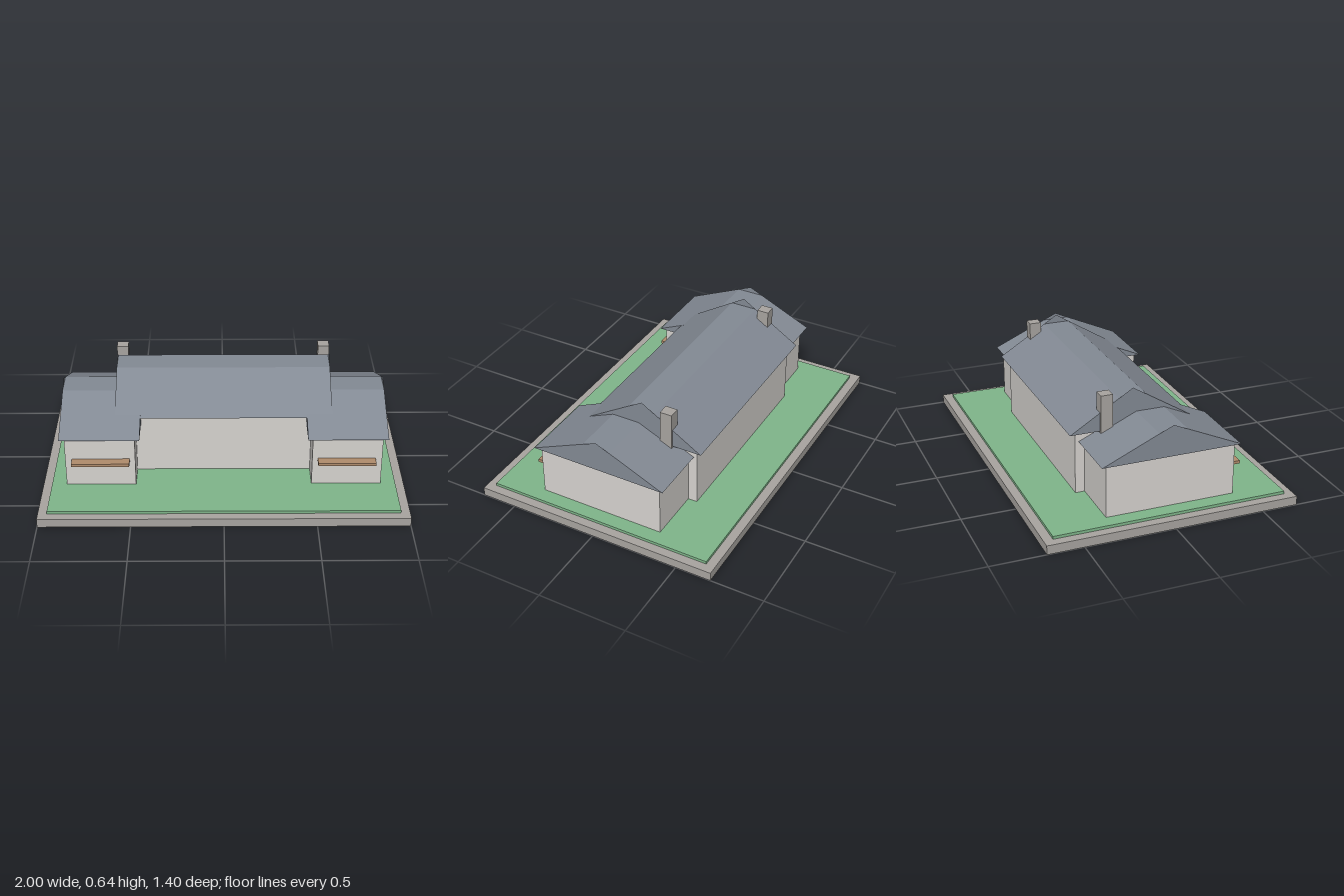
import * as THREE from 'three';

const mat = (name, color, side = THREE.FrontSide) => {
  const m = new THREE.MeshStandardMaterial({ color, side });
  m.name = name;
  return m;
};

export function createModel() {
  const house = new THREE.Group();
  house.name = 'house';

  const stone = mat('stone', 0xa8a4a0);
  const grass = mat('grass', 0x7fb58a);
  const plaster = mat('plaster', 0xd6d3cf);
  const wood = mat('wood', 0xb08c6c);
  const slate = mat('slate', 0x838a94, THREE.DoubleSide);

  // Box given by its limits on each axis
  const box = (name, material, [x0, x1], [y0, y1], [z0, z1]) => {
    const mesh = new THREE.Mesh(new THREE.BoxGeometry(x1 - x0, y1 - y0, z1 - z0), material);
    mesh.position.set((x0 + x1) / 2, (y0 + y1) / 2, (z0 + z1) / 2);
    mesh.name = name;
    house.add(mesh);
  };

  // Flat-topped roof between two thin gables that rise to a point
  const roof = (name, [x0, x1], y0, ridgeY, midZ, halfZ, flatHalf) => {
    const group = new THREE.Group();
    group.name = name;
    const flatY = ridgeY - (ridgeY - y0) * flatHalf / halfZ;

    // Cross-section with shape x as z and shape y as height
    const section = new THREE.Shape([
      new THREE.Vector2(-halfZ, y0), new THREE.Vector2(halfZ, y0),
      new THREE.Vector2(flatHalf, flatY), new THREE.Vector2(-flatHalf, flatY),
    ]);
    const body = new THREE.Mesh(
      new THREE.ExtrudeGeometry(section, { depth: x1 - x0, bevelEnabled: false }), slate);
    body.name = name + 'Slopes';
    body.rotation.y = -Math.PI / 2;
    body.position.set(x1, 0, midZ);
    group.add(body);

    // Only the gable tips stand clear of the slopes
    const tip = new THREE.Shape([
      new THREE.Vector2(-flatHalf, flatY), new THREE.Vector2(flatHalf, flatY),
      new THREE.Vector2(0, ridgeY),
    ]);
    for (const [x, turn] of [[x0, -1], [x1, 1]]) {
      const gable = new THREE.Mesh(new THREE.ShapeGeometry(tip), slate);
      gable.name = name + 'GableTip';
      gable.rotation.y = turn * Math.PI / 2;
      gable.position.set(x, 0, midZ);
      group.add(gable);
    }
    house.add(group);
  };

  // Plinth and lawn
  box('plinth', stone, [-1, 1], [0, 0.05], [-0.7, 0.7]);
  box('lawn', grass, [-0.95, 0.95], [0.05, 0.066], [-0.65, 0.65]);

  // Main hall
  box('hallWalls', plaster, [-0.56, 0.56], [0.066, 0.416], [-0.387, 0.233]);
  roof('hallRoof', [-0.597, 0.597], 0.42, 0.637, -0.077, 0.35, 0.077);

  // Wings, chimneys and front ledges on both sides
  for (const s of [-1, 1]) {
    const side = s > 0 ? 'left' : 'right';
    const span = (a, b) => (s > 0 ? [a, b] : [-b, -a]);
    box(side + 'WingWalls', plaster, span(0.485, 0.868), [0.066, 0.356], [-0.335, 0.385]);
    roof(side + 'WingRoof', span(0.457, 0.895), 0.362, 0.536, 0.022, 0.389, 0.079);
    box(side + 'Chimney', stone, span(0.543, 0.607), [0.34, 0.622], [-0.26, -0.192]);
    box(side + 'Ledge', wood, span(0.515, 0.831), [0.214, 0.231], [0.38, 0.44]);
  }

  return house;
}
